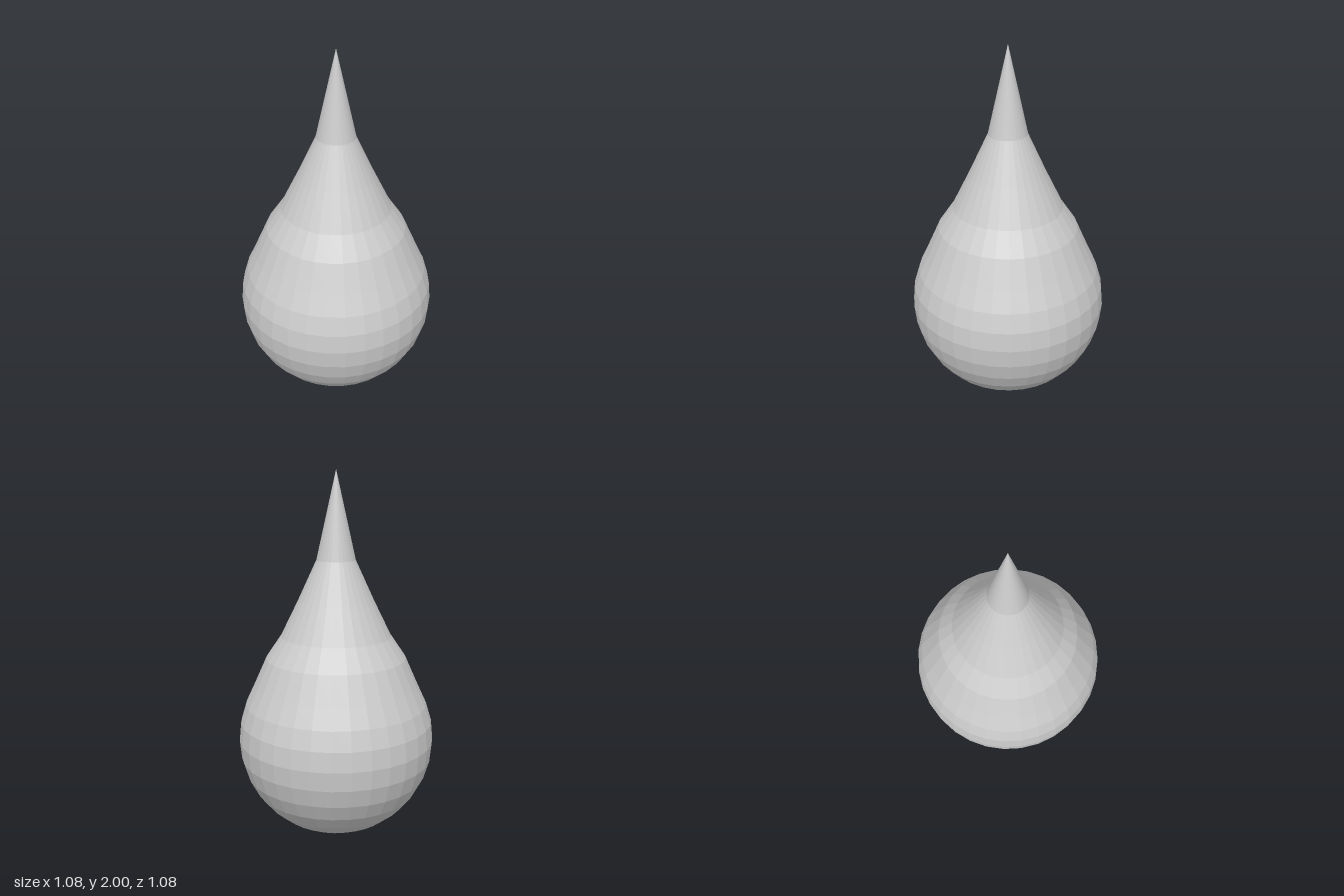
import * as THREE from 'three';

const RADIUS = 0.538;
const ROWS = 16;
const SIDES = 32;

// Heights of the rings drawn upwards from the round body to the tip
const NECK_HEIGHTS = [0.85, 1.0, 1.12, 1.31, 1.53, 2];

export function createModel() {
  const group = new THREE.Group();
  group.name = 'teardrop';

  // Profile from bottom pole to tip: a sphere whose upper rings are pulled up
  const firstNeckRow = ROWS + 1 - NECK_HEIGHTS.length;
  const profile = [];
  for (let i = 0; i <= ROWS; i++) {
    const angle = (i / ROWS) * Math.PI;
    const r = i === 0 || i === ROWS ? 0 : RADIUS * Math.sin(angle);
    const y = i < firstNeckRow
      ? RADIUS * (1 - Math.cos(angle))
      : NECK_HEIGHTS[i - firstNeckRow];
    profile.push(new THREE.Vector2(r, y));
  }

  // Faceted drop body
  const drop = new THREE.Mesh(
    new THREE.LatheGeometry(profile, SIDES),
    new THREE.MeshStandardMaterial({ color: 0xcccccc, flatShading: true })
  );
  drop.name = 'dropBody';
  group.add(drop);

  return group;
}
